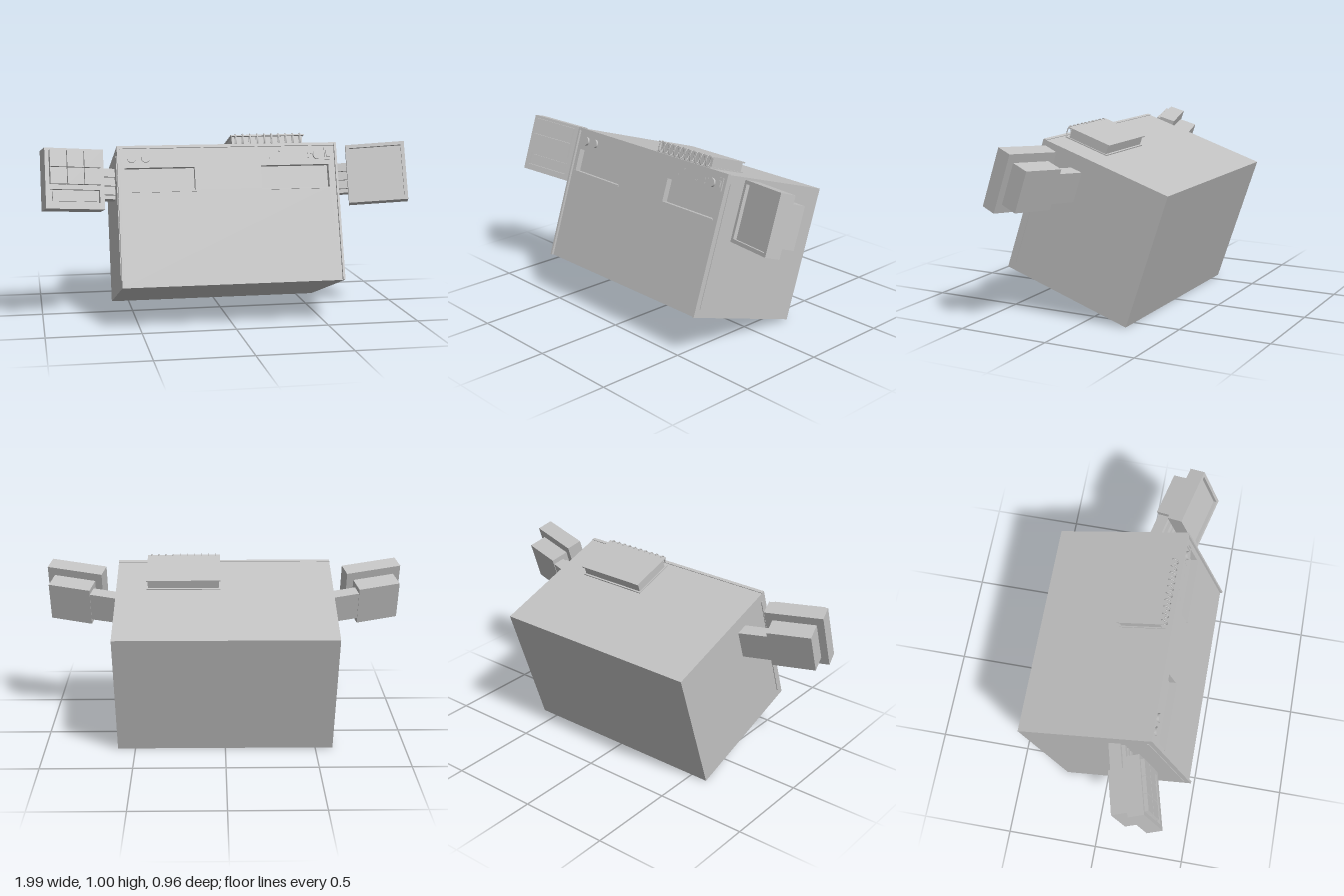
import * as THREE from 'three';

const grey = new THREE.MeshStandardMaterial({ color: 0xc2c2c2 });
grey.name = 'light grey';

function add(parent, name, geometry, x = 0, y = 0, z = 0) {
  const m = new THREE.Mesh(geometry, grey);
  m.name = name;
  m.position.set(x, y, z);
  parent.add(m);
  return m;
}

// Box given by its minimum and maximum corners
function box(parent, name, x0, x1, y0, y1, z0, z1) {
  return add(parent, name, new THREE.BoxGeometry(x1 - x0, y1 - y0, z1 - z0),
    (x0 + x1) / 2, (y0 + y1) / 2, (z0 + z1) / 2);
}

// Flat plate from z0 to z1 with rectangular holes; rectangles are [x0, x1, y0, y1]
function plate(parent, name, outer, holes, z0, z1) {
  const corners = ([a, b, c, d]) => [[a, c], [b, c], [b, d], [a, d]].map(p => new THREE.Vector2(...p));
  const shape = new THREE.Shape(corners(outer));
  for (const h of holes) shape.holes.push(new THREE.Path(corners(h).reverse()));
  return add(parent, name, new THREE.ExtrudeGeometry(shape, { depth: z1 - z0, bevelEnabled: false }), 0, 0, z0);
}

function knob(parent, name, x, y, z) {
  const g = new THREE.CylinderGeometry(0.024, 0.024, 0.016, 24).rotateX(Math.PI / 2);
  add(parent, name, g, x, y, z + 0.004);
}

// Side console on a louvred arm; s is the side it stands on
function console_(s) {
  const g = new THREE.Group();
  g.position.set(s * 0.82, 0.211, 0.364);
  g.rotation.y = -s * 0.26;
  const sided = (name, a, b, ...rest) => box(g, name, Math.min(s * a, s * b), Math.max(s * a, s * b), ...rest);
  sided('consoleRearHousing', -0.12, 0.12, -0.114, 0.113, -0.188, -0.085);
  sided('consoleArm', -0.31, -0.12, -0.083, 0.085, -0.185, -0.12);
  for (let i = 0; i < 3; i++) {
    const y = -0.062 + i * 0.049;
    sided('armLouvre', -0.29, -0.1, y, y + 0.028, -0.122, -0.1);
  }
  sided('consoleBack', -0.16, 0.16, -0.161, 0.161, -0.087, -0.02);
  return g;
}

export function createModel() {
  const model = new THREE.Group();
  model.name = 'tiltedControlCabinet';
  const tilt = new THREE.Group();
  tilt.name = 'cabinet';
  tilt.position.set(0, 0.476, 0);
  tilt.rotation.x = -0.323;
  model.add(tilt);

  // Cabinet shell, front panel and raised rim
  box(tilt, 'cabinetBody', -0.597, 0.597, -0.375, 0.375, -0.378, 0.333);
  const slots = [[-0.56, -0.185, 0.135, 0.26], [0.175, 0.55, 0.135, 0.26]];
  plate(tilt, 'frontPanel', [-0.597, 0.597, -0.375, 0.375], slots, 0.333, 0.367);
  for (const s of [-1, 1]) {
    const x = s * 0.591;
    box(tilt, 'sideRim', x - 0.006, x + 0.006, -0.375, 0.375, 0.367, 0.38);
    box(tilt, 'sideTrim', s * 0.597 - 0.004, s * 0.597 + 0.004, -0.33, 0.33, 0.34, 0.35);
  }
  box(tilt, 'topRim', -0.597, 0.597, 0.363, 0.378, 0.36, 0.378);
  for (const [a, b, c] of slots) box(tilt, 'slotLip', a - 0.005, b + 0.005, c - 0.008, c, 0.36, 0.373);

  // Knobs, switch and small marks on the front
  for (const x of [-0.52, -0.445, 0.49]) knob(tilt, 'knob', x, 0.312, 0.367);
  box(tilt, 'switchPlate', 0.53, 0.567, 0.283, 0.35, 0.366, 0.374);
  box(tilt, 'switchToggle', 0.538, 0.559, 0.3, 0.335, 0.37, 0.382);
  for (const x of [0.235, 0.375]) box(tilt, 'frontMark', x - 0.011, x + 0.011, 0.296, 0.301, 0.366, 0.371);
  for (const [x, y] of [[0.28, 0.336], [0.44, 0.32], [0.44, 0.3], [0.455, 0.325]])
    box(tilt, 'indicator', x - 0.004, x + 0.004, y - 0.004, y + 0.004, 0.366, 0.371);

  // Ring-bound notebook lying on top
  const book = new THREE.Group();
  book.name = 'notebook';
  tilt.add(book);
  box(book, 'notebookBackCover', 0.025, 0.43, 0.374, 0.381, 0.085, 0.345);
  box(book, 'notebookPages', 0.032, 0.423, 0.381, 0.428, 0.095, 0.325);
  box(book, 'notebookFrontCover', 0.025, 0.43, 0.428, 0.435, 0.085, 0.345);
  const ring = new THREE.TorusGeometry(0.03, 0.004, 6, 20).rotateY(Math.PI / 2).scale(1, 1, 0.55);
  for (let i = 0; i < 10; i++) add(book, 'notebookRing', ring, 0.05 + i * 0.0395, 0.408, 0.342);

  // Left console: framed recessed screen
  const left = console_(1);
  left.name = 'screenConsole';
  plate(left, 'screenFrame', [-0.16, 0.16, -0.161, 0.161], [[-0.141, 0.141, -0.142, 0.142]], -0.02, 0);
  tilt.add(left);

  // Right console: two rows of keys above a recessed display
  const right = console_(-1);
  right.name = 'keyConsole';
  plate(right, 'keyFrame', [-0.16, 0.16, -0.161, 0.161], [[-0.135, 0.135, -0.128, -0.058]], -0.02, 0);
  box(right, 'display', -0.12, 0.12, -0.118, -0.068, -0.02, -0.01);
  for (let r = 0; r < 2; r++) for (let c = 0; c < 3; c++) {
    const x = -0.138 + c * 0.093, y = -0.032 + r * 0.091;
    box(right, 'key', x, x + 0.089, y, y + 0.087, -0.002, 0.021);
  }
  tilt.add(right);
  return model;
}
